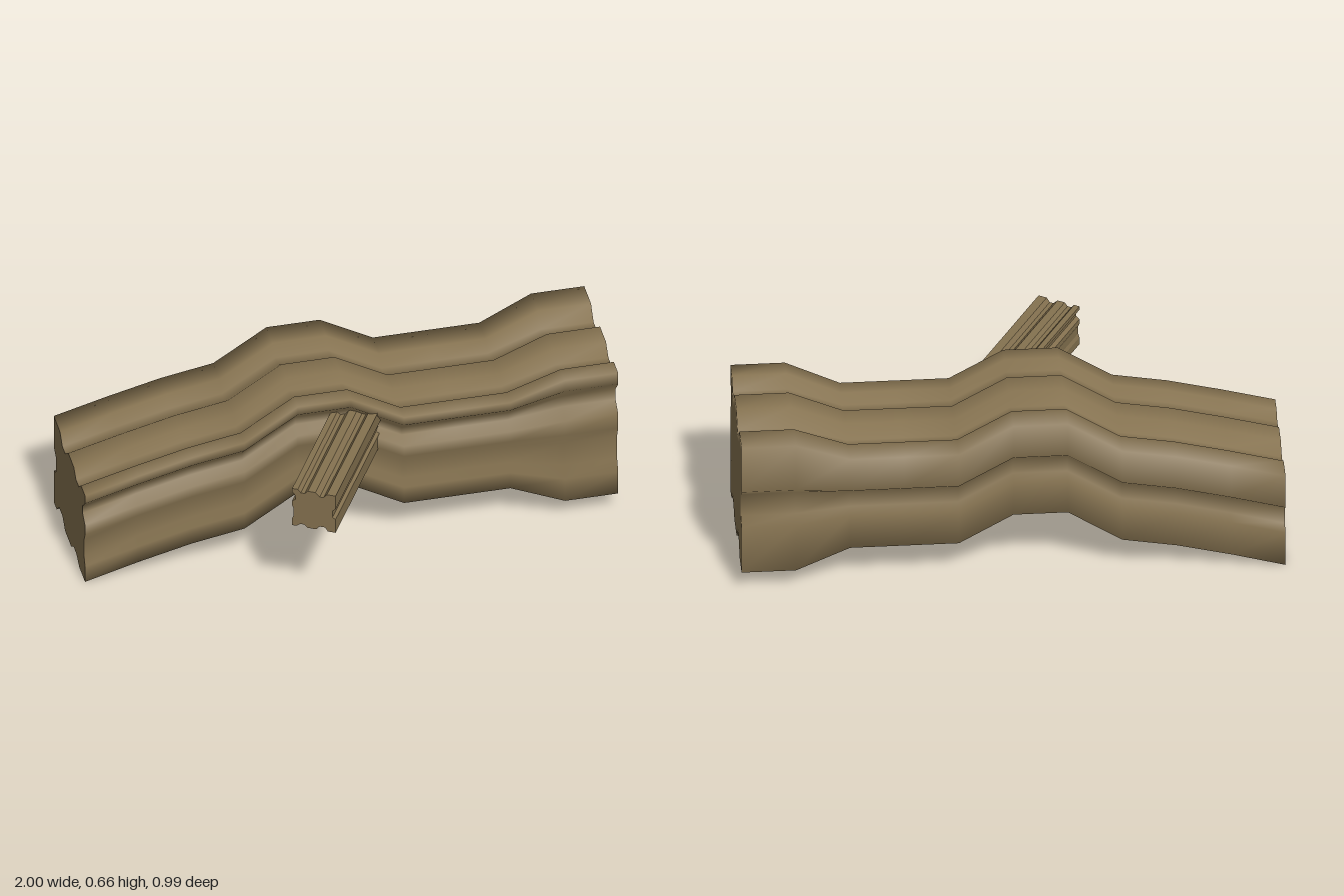
import * as THREE from 'three';

// Grooved square cross-section, as [u (0 back, 1 front), v (0 bottom, 1 top)]
const TOP = [[1, 1], [0.87, 1], [0.8, 0.92], [0.71, 0.92], [0.64, 1], [0.465, 1], [0.365, 0.9], [0.275, 0.9], [0.2, 1]];
const BACK = [[0, 1], [0, 0.645], [0.07, 0.58], [0.07, 0.41], [0, 0.36]];
const BOTTOM = [[0.18, 0], [0.22, 0.095], [0.365, 0.095], [0.447, 0], [0.64, 0], [0.72, 0.07], [0.81, 0.07], [0.9, 0]];
const FRONT = [[1, 0], [1, 0.18], [0.965, 0.27], [0.965, 0.455], [1, 0.545], [1, 0.66], [0.92, 0.725], [0.92, 0.81], [1, 0.91]];

// The bottom grooves drift backwards by the given shift
function section(shift) {
  return [...TOP, ...BACK, [0, 0], ...BOTTOM.map(([u, v]) => [u - shift, v]), ...FRONT];
}

// Sweep the section along x; stations are [x, yBottom, yTop, zBack, zFront]
function grooved(stations, drift) {
  const pos = [], index = [];
  const n = section(0).length;

  function ring([x, y0, y1, z0, z1], scale = 1) {
    const first = pos.length / 3;
    for (const [u, v] of section(drift * (1 - x) / 2)) {
      const su = 0.5 + (u - 0.5) * scale, sv = 0.5 + (v - 0.5) * scale;
      pos.push(x, y0 + (y1 - y0) * sv, z0 + (z1 - z0) * su);
    }
    return first;
  }
  function join(a, b) {
    for (let j = 0; j < n; j++) {
      const k = (j + 1) % n;
      index.push(a + j, b + j, b + k, a + j, b + k, a + k);
    }
  }
  function fan(a, [x, y0, y1, z0, z1], flip) {
    const c = pos.length / 3;
    pos.push(x, (y0 + y1) / 2, (z0 + z1) / 2);
    for (let j = 0; j < n; j++) {
      const k = (j + 1) % n;
      index.push(c, a + (flip ? j : k), a + (flip ? k : j));
    }
  }

  const rings = stations.map((s) => ring(s));
  for (let i = 0; i + 1 < rings.length; i++) join(rings[i], rings[i + 1]);

  // Soft-edged cap at the high end, crisp cap at the low end
  const last = stations[stations.length - 1];
  const inset = ring(last, 0.88);
  join(rings[rings.length - 1], inset);
  fan(inset, last, false);
  fan(ring(stations[0]), stations[0], true);

  const geo = new THREE.BufferGeometry();
  geo.setAttribute('position', new THREE.Float32BufferAttribute(pos, 3));
  geo.setIndex(index);
  geo.computeVertexNormals();
  return geo;
}

export function createModel() {
  const group = new THREE.Group();
  group.name = 'fallenLog';
  const bark = new THREE.MeshStandardMaterial({ color: 0x857250 });
  bark.name = 'bark';

  // Bent trunk, flaring at one end
  const trunkPath = [
    [-1, 0.003, 0.395], [-0.8, 0.06, 0.45], [-0.6, 0.11, 0.5], [-0.4, 0.145, 0.535],
    [-0.2, 0.276, 0.665], [0, 0.276, 0.665], [0.2, 0.16, 0.55], [0.4, 0.16, 0.55],
    [0.6, 0.16, 0.55], [0.8, 0.085, 0.634], [1, 0.085, 0.634],
  ].map(([x, y0, y1]) => (x > 0.7 ? [x, y0, y1, -0.495, 0.053] : [x, y0, y1, -0.474, 0.03]));
  const trunk = new THREE.Mesh(grooved(trunkPath, 0.085), bark);
  trunk.name = 'trunk';
  group.add(trunk);

  // Straight branch stub leaving the front at an angle, with crisp facets
  const stubGeo = grooved([[0, 0.42, 0.587, -0.083, 0.083], [0.6, 0.42, 0.587, -0.083, 0.083]], 0).toNonIndexed();
  stubGeo.computeVertexNormals();
  const stub = new THREE.Mesh(stubGeo, bark);
  stub.name = 'branchStub';
  stub.position.set(0.0625, 0, -0.07);
  stub.rotation.y = -THREE.MathUtils.degToRad(120);
  group.add(stub);

  return group;
}
